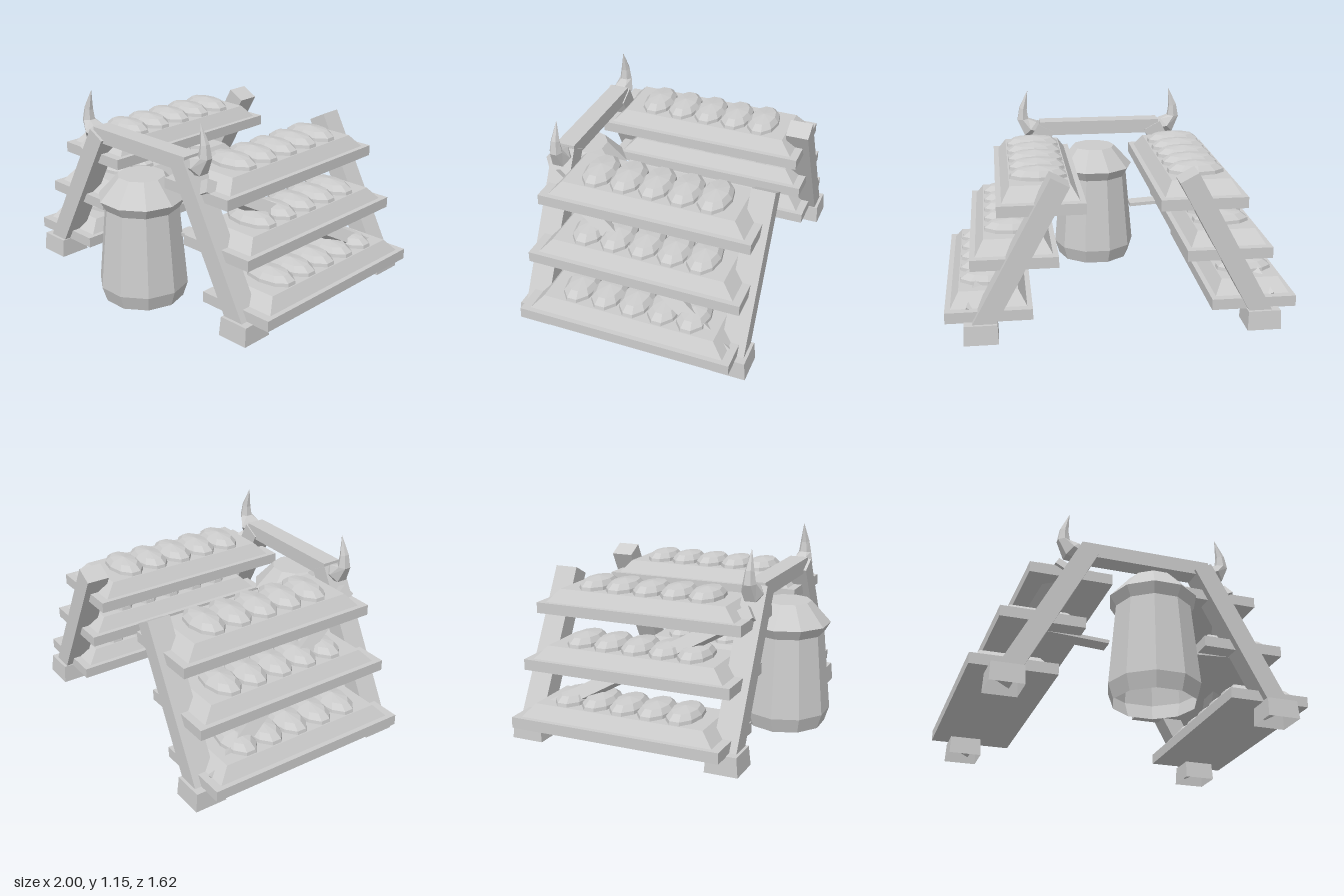
import * as THREE from 'three';

const grey = new THREE.MeshStandardMaterial({ color: 0xcccccc, flatShading: true, side: THREE.DoubleSide });
grey.name = 'plainGrey';

function add(parent, name, geometry, x = 0, y = 0, z = 0) {
  const mesh = new THREE.Mesh(geometry, grey);
  mesh.name = name;
  mesh.position.set(x, y, z);
  parent.add(mesh);
  return mesh;
}

// Box standing on y = 0 whose top is narrower than its base; can be left open below
function taperedBox(w, h, d, topW, topD, open = false) {
  const g = new THREE.BoxGeometry(w, h, d).translate(0, h / 2, 0);
  const p = g.attributes.position;
  for (let i = 0; i < p.count; i++) {
    if (p.getY(i) > h / 2) p.setXYZ(i, p.getX(i) * topW / w, h, p.getZ(i) * topD / d);
  }
  if (open) {
    const index = Array.from(g.index.array);
    index.splice(18, 6);
    g.setIndex(index);
    g.clearGroups();
  }
  g.computeVertexNormals();
  return g;
}

// Low ten-sided dome
function loafGeometry() {
  const profile = [[1, 0], [0.97, 0.022], [0.72, 0.052], [0, 0.066]].map(([r, y]) => new THREE.Vector2(r, y));
  return new THREE.LatheGeometry(profile, 10).scale(0.17, 1, 0.098);
}

// Horn swept through rings of [x, y, outward tilt, radius]
function hornGeometry(side) {
  const rings = [[0.38, 0.885, 1.2, 0.045], [0.45, 0.905, 0.85, 0.066], [0.498, 0.965, 0.1, 0.04],
    [0.495, 1.035, -0.25, 0.028], [0.465, 1.15, -0.3, 0.001]];
  const g = new THREE.CylinderGeometry(1, 1, 4, 6, 4);
  const p = g.attributes.position;
  for (let i = 0; i < p.count; i++) {
    const [x, y, tilt, r] = rings[Math.round(p.getY(i) + 2)];
    const u = p.getX(i) * r;
    p.setXYZ(i, side * x + u * Math.cos(tilt), y - side * u * Math.sin(tilt), 0.5 + p.getZ(i) * r);
  }
  g.computeVertexNormals();
  return g;
}

export function createModel() {
  const model = new THREE.Group();
  model.name = 'marketStall';
  const loaf = loafGeometry();
  const lean = 0.495;

  for (const side of [-1, 1]) {
    const rack = new THREE.Group();
    rack.name = side > 0 ? 'leftRack' : 'rightRack';
    model.add(rack);

    // Three stepped shelves, each with a bed and a row of loaves
    for (const [x, y] of [[0.755, 0.108], [0.605, 0.412], [0.45, 0.715]]) {
      const shelf = new THREE.Group();
      shelf.name = 'shelf';
      shelf.position.set(side * x, y, 0);
      rack.add(shelf);
      add(shelf, 'plank', new THREE.BoxGeometry(0.49, 0.064, 1.28), 0, 0.032, -0.11);
      add(shelf, 'bed', taperedBox(0.43, 0.076, 1.18, 0.335, 1.04), 0, 0.064, -0.112);
      for (let i = 0; i < 5; i++) add(shelf, 'loaf', loaf, 0, 0.138, 0.235 - i * 0.175);
    }

    // Leaning legs in hollow feet
    for (const z of [0.502, -0.72]) {
      const leg = add(rack, 'leg', new THREE.BoxGeometry(0.117, 0.968, 0.14), side * 0.58, 0.486, z);
      leg.rotation.z = side * lean;
      add(rack, 'foot', taperedBox(0.196, 0.112, 0.196, 0.186, 0.176, true), side * 0.802, 0, z);
    }

    // Diagonal brace on the outside of the legs
    const braceFrame = new THREE.Group();
    braceFrame.name = 'braceFrame';
    braceFrame.position.set(side * 0.61, 0.43, -0.085);
    braceFrame.rotation.z = side * lean;
    rack.add(braceFrame);
    const brace = add(braceFrame, 'brace', new THREE.BoxGeometry(0.06, 0.08, 1.43), side * 0.088, 0, 0);
    brace.rotation.x = -0.56;

    // Thin bar between rack and barrel
    const bar = add(rack, 'sideBar', new THREE.BoxGeometry(0.4, 0.022, 0.1), side * 0.39, 0.412, 0.375);
    bar.rotation.z = side * 0.06;

    add(rack, 'horn', hornGeometry(side));
  }

  // Beam joining the front legs
  add(model, 'crossbeam', new THREE.BoxGeometry(0.78, 0.088, 0.115), 0, 0.908, 0.497);

  // Ten-sided barrel with flared lid, open below
  const profile = [[0.238, 0], [0.267, 0.09], [0.222, 0.57], [0.258, 0.63], [0.14, 0.76], [0, 0.76]]
    .map(([r, y]) => new THREE.Vector2(r, y));
  add(model, 'barrel', new THREE.LatheGeometry(profile, 10).rotateY(Math.PI / 10), 0.03, 0, 0.55);

  return model;
}
